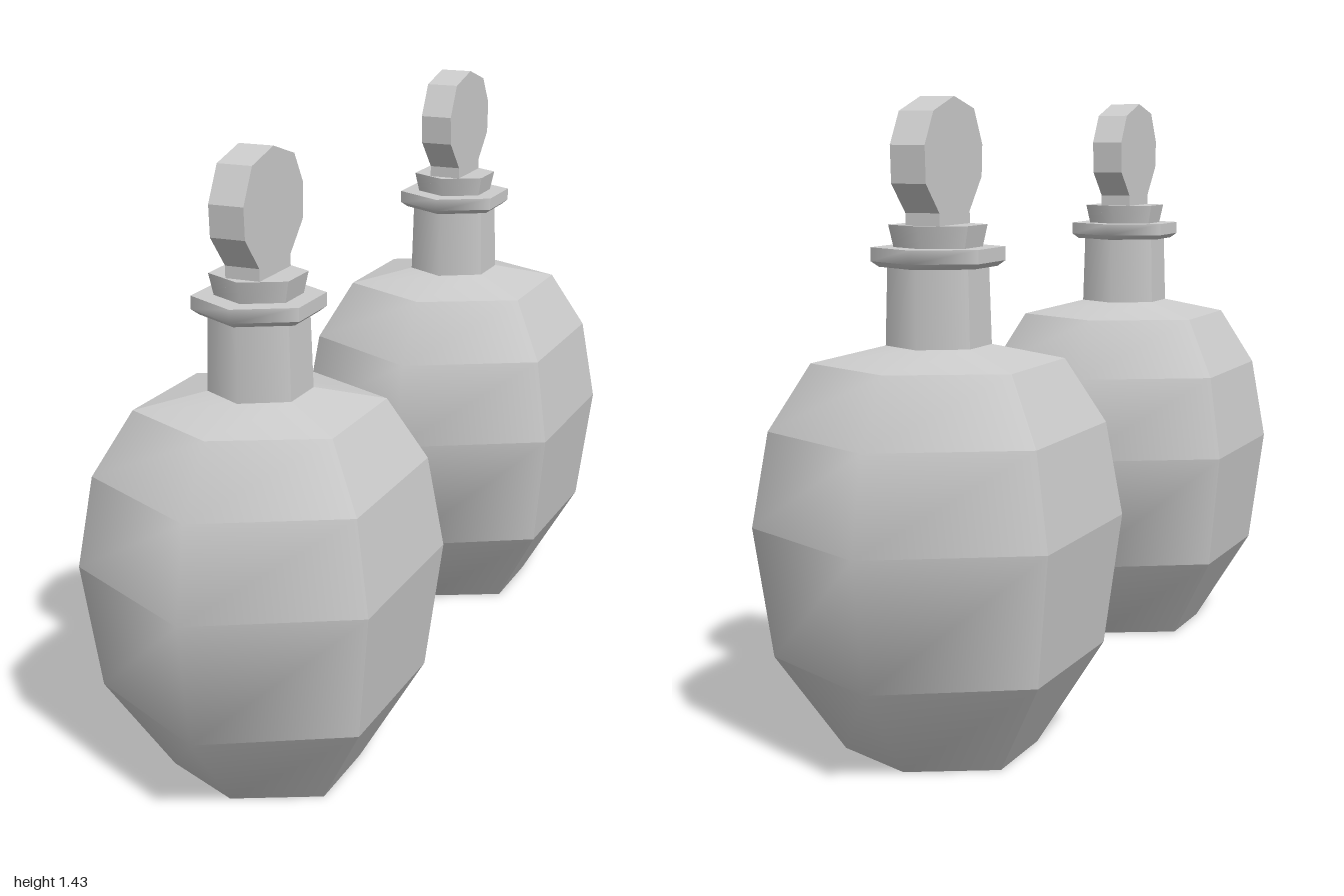
import * as THREE from 'three';

const glass = new THREE.MeshStandardMaterial({ color: 0xcccccc });
glass.name = 'grey glass';

// Hexagon with its points at the front and back and flat sides left and right.
function hexRing([y, hx, hz, edge = hz / 2]) {
  return [[0, hz], [hx, edge], [hx, -edge], [0, -hz], [-hx, -edge], [-hx, edge]]
    .map(([x, z]) => new THREE.Vector3(x, y, z));
}

// Stacked hexagon rings: front and back ridges are smooth, side corners are crisp.
function hexLoft(profile, capBottom = false, capTop = false) {
  const rings = profile.map(hexRing);
  const pos = [], nor = [];
  const put = (p, n) => { pos.push(...p.toArray()); nor.push(...n.toArray()); };
  const faceNormals = rings.slice(0, -1).map((low, i) => low.map((a, k) => {
    const j = (k + 1) % 6, up = rings[i + 1];
    const d1 = up[j].clone().sub(a), d2 = up[k].clone().sub(low[j]);
    return d1.cross(d2).normalize();
  }));
  const cornerNormal = (i, k, flat) => {
    if (k % 3) return flat;
    const sum = new THREE.Vector3();
    for (const band of [faceNormals[i - 1], faceNormals[i]]) {
      if (band) sum.add(band[k]).add(band[(k + 5) % 6]);
    }
    return sum.normalize();
  };
  faceNormals.forEach((band, i) => band.forEach((flat, k) => {
    const j = (k + 1) % 6;
    for (const [r, c] of [[i, k], [i, j], [i + 1, j], [i, k], [i + 1, j], [i + 1, k]]) {
      put(rings[r][c], cornerNormal(r, c, flat));
    }
  }));
  const cap = (ring, up) => {
    const n = new THREE.Vector3(0, up ? 1 : -1, 0);
    for (let k = 1; k < 5; k++) {
      const tri = up ? [0, k, k + 1] : [0, k + 1, k];
      tri.forEach((c) => put(ring[c], n));
    }
  };
  if (capBottom) cap(rings[0], false);
  if (capTop) cap(rings[rings.length - 1], true);
  const g = new THREE.BufferGeometry();
  g.setAttribute('position', new THREE.Float32BufferAttribute(pos, 3));
  g.setAttribute('normal', new THREE.Float32BufferAttribute(nor, 3));
  return g;
}

// Faceted round grip, cut as a flat plate facing left and right.
function gripGeometry() {
  const outline = [
    [0.075, 1.14], [0.075, 1.187], [0.138, 1.26], [0.142, 1.33], [0.1, 1.407], [0, 1.432],
    [-0.1, 1.4], [-0.142, 1.33], [-0.138, 1.25], [-0.075, 1.187], [-0.075, 1.14],
  ].map(([z, y]) => new THREE.Vector2(z, y));
  const g = new THREE.ExtrudeGeometry(new THREE.Shape(outline), { depth: 0.08, bevelEnabled: false });
  g.rotateY(-Math.PI / 2);
  g.translate(0.04, 0, 0);
  return g;
}

function createBottle(name) {
  const bottle = new THREE.Group();
  bottle.name = name;
  const add = (part, geometry) => {
    const mesh = new THREE.Mesh(geometry, glass);
    mesh.name = part;
    bottle.add(mesh);
  };
  add('body', hexLoft([
    [0, 0.188, 0.19, 0.1],
    [0.22, 0.312, 0.363, 0.19],
    [0.51, 0.345, 0.403, 0.216],
    [0.72, 0.312, 0.363, 0.198],
    [0.865, 0.235, 0.262, 0.145],
  ], true));
  add('shoulder', hexLoft([[0.865, 0.235, 0.262, 0.145], [0.9, 0.1, 0.113]]));
  add('neck', hexLoft([[0.895, 0.1, 0.113], [1.085, 0.095, 0.107]]));
  add('collar', hexLoft([
    [1.07, 0.112, 0.122],
    [1.082, 0.127, 0.14],
    [1.112, 0.127, 0.14],
  ], true, true));
  add('stopperBase', hexLoft([[1.11, 0.084, 0.09], [1.16, 0.094, 0.1]], false, true));
  add('stopperGrip', gripGeometry());
  return bottle;
}

export function createModel() {
  const model = new THREE.Group();
  model.name = 'bottlePair';
  const front = createBottle('frontBottle');
  front.position.z = 0.596;
  const back = createBottle('backBottle');
  back.position.z = -0.59;
  back.scale.z = 1.018;
  model.add(front, back);
  return model;
}
